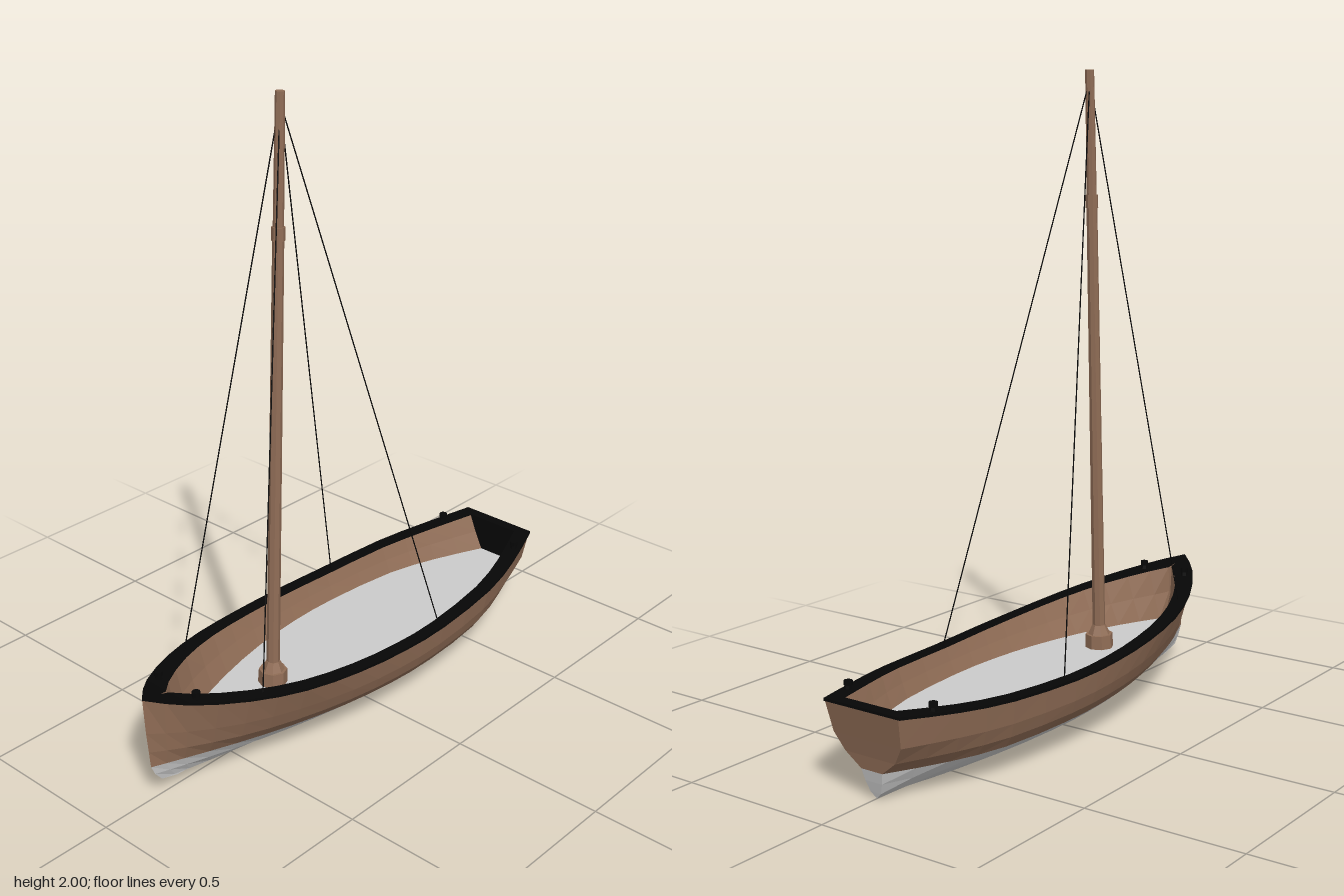
import * as THREE from 'three';

const mat = (color) => new THREE.MeshStandardMaterial({ color, flatShading: true, side: THREE.DoubleSide });
const V = (x, y, z) => new THREE.Vector3(x, y, z);
const flip = (p) => V(-p.x, p.y, p.z);

// Stations bow to stern: z, sheer half beam, sheer y, mid and waterline half beams, keel y
const STATIONS = [
  [0.84, 0, 0.355, 0, 0, 0.032],
  [0.74, 0.088, 0.33, 0.066, 0.038, 0.028],
  [0.58, 0.173, 0.302, 0.145, 0.095, 0.025],
  [0.4, 0.23, 0.277, 0.2, 0.15, 0.022],
  [0.2, 0.26, 0.258, 0.24, 0.194, 0.018],
  [0, 0.272, 0.246, 0.258, 0.218, 0.015],
  [-0.2, 0.268, 0.24, 0.257, 0.22, 0.013],
  [-0.47, 0.242, 0.247, 0.23, 0.193, 0.01],
  [-0.66, 0.195, 0.258, 0.182, 0.13, 0.006],
  [-0.84, 0.133, 0.275, 0.122, 0.038, 0],
];
// Length of each row at the bow and stern (raked stem and transom)
const BOW = [0.84, 0.832, 0.825, 0.82, 0.805, 0.78, 0.72];
const STERN = [0.84, 0.818, 0.806, 0.8, 0.793, 0.785, 0.78];
const FLOOR_Y = 0.16;

// Adds a smooth in-between station to every gap
function refine(list) {
  const out = [list[0]];
  for (let i = 0; i < list.length - 1; i++) {
    const b = list[i], c = list[i + 1];
    const a = list[i - 1] ?? b.map((v, k) => 2 * v - c[k]);
    const d = list[i + 2] ?? c.map((v, k) => 2 * v - b[k]);
    out.push(b.map((v, k) => (9 * (v + c[k]) - a[k] - d[k]) / 16), c);
  }
  return out;
}

// Left half of a station, from sheer to keel
function section([z, sx, sy, mx, wx, ky]) {
  const wy = 0.098 + 0.015 * z;
  const xs = [sx, mx, wx + (mx - wx) * 0.62, wx, wx * 0.8, wx * 0.5, 0];
  const ys = [sy, wy + (sy - wy) * 0.5, wy + (sy - wy) * 0.22, wy,
    ky + (wy - ky) * 0.6, ky + (wy - ky) * 0.22, ky];
  return xs.map((x, i) => V(x, ys[i], (z / 0.84) * (z > 0 ? BOW : STERN)[i]));
}

// Left half of the inner lining, from rim to floor
function lining([z, sx, sy, mx, wx]) {
  const k = z * (z > 0 ? 0.937 : 0.955);
  const y = sy - 0.014 * Math.max(0, z / 0.84) ** 3;
  const rimX = Math.max(0, sx - 0.038);
  const floorX = Math.max(0, mx * 0.6 + wx * 0.4 - 0.045);
  return [V(rimX, y, k), V(rimX * 0.55 + floorX * 0.45, (y + FLOOR_Y) / 2, k), V(floorX, FLOOR_Y, k)];
}

// Skin over a list of equal-length point rows
function skin(rows, reverse = false) {
  const out = [];
  const tri = (a, b, c) => {
    if (V().crossVectors(b.clone().sub(a), c.clone().sub(a)).lengthSq() < 1e-14) return;
    for (const p of reverse ? [a, c, b] : [a, b, c]) out.push(p.x, p.y, p.z);
  };
  for (let i = 0; i < rows.length - 1; i++) {
    for (let j = 0; j < rows[i].length - 1; j++) {
      const a = rows[i][j], b = rows[i][j + 1], c = rows[i + 1][j + 1], d = rows[i + 1][j];
      tri(a, b, c);
      tri(a, c, d);
    }
  }
  const g = new THREE.BufferGeometry();
  g.setAttribute('position', new THREE.Float32BufferAttribute(out, 3));
  g.computeVertexNormals();
  return g;
}

export function createModel() {
  const boat = new THREE.Group();
  boat.name = 'sailboat';
  const wood = mat(0x906d56), grey = mat(0xcccccc), black = mat(0x060606);

  const add = (name, geometry, material, parent = boat) => {
    const m = new THREE.Mesh(geometry, material);
    m.name = name;
    parent.add(m);
    return m;
  };
  // Straight tapered rod between two points
  const rod = (name, a, b, r0, r1, sides, material) => {
    const d = b.clone().sub(a);
    const m = add(name, new THREE.CylinderGeometry(r1, r0, d.length(), sides), material);
    m.position.copy(a).add(b).multiplyScalar(0.5);
    m.quaternion.setFromUnitVectors(V(0, 1, 0), d.normalize());
    return m;
  };
  // Skin on the left and its mirror on the right
  const pair = (name, rows, material, reverse = false) => {
    add(name + 'Left', skin(rows, reverse), material);
    add(name + 'Right', skin(rows.map((r) => r.map(flip)), !reverse), material);
  };

  // Hull: wooden topsides over a grey bottom
  const stations = refine(STATIONS);
  const outer = stations.map(section);
  const inner = stations.map(lining);
  pair('topside', outer.map((s) => s.slice(0, 4)), wood);
  pair('bottom', outer.map((s) => s.slice(3)), grey);

  // Transom
  const stern = outer[outer.length - 1];
  const across = (pts, reverse) => skin([pts, pts.map(flip)], reverse);
  add('transomUpper', across(stern.slice(0, 4)), wood);
  add('transomLower', across(stern.slice(3)), grey);

  // Interior lining, floor and inside of the transom
  pair('innerSide', inner, wood, true);
  add('floor', skin(inner.map((s) => [s[2], flip(s[2])]), true), grey);
  add('innerTransom', across(inner[inner.length - 1], true), black);

  // Gunwale rim: a closed band following the sheer
  const rim = stations.map((s, i) => {
    const o = outer[i][0], n = inner[i][0];
    const ox = o.x > 0 ? o.x + 0.004 : 0;
    const t = 0.003, b = -0.005;
    return [
      V(n.x, n.y + b, n.z), V(n.x, n.y + t, n.z), V(ox, o.y + t, o.z),
      V(ox, o.y + b, o.z), V(n.x, n.y + b, n.z),
    ];
  });
  pair('gunwale', rim, black);
  add('sternRim', across(rim[rim.length - 1], true), black);

  // Raked mast in two lengths, with a foot collar on the floor
  const along = (y) => V(0, y, 0.312 - (y - 0.1) * 0.0379);
  rod('mastFoot', along(FLOOR_Y), along(0.205), 0.046, 0.044, 8, wood);
  rod('mastFootTaper', along(0.205), along(0.235), 0.036, 0.022, 8, wood);
  rod('lowerMast', along(FLOOR_Y), along(1.6), 0.021, 0.017, 8, wood);
  rod('mastBand', along(1.58), along(1.62), 0.02, 0.02, 8, wood);
  rod('upperMast', along(1.6), along(1.9995), 0.016, 0.014, 8, wood);

  // Shrouds and cleats on both sides
  for (const [side, s] of [['Left', 1], ['Right', -1]]) {
    const head = along(1.97);
    rod('foreShroud' + side, V(s * 0.168, 0.293, 0.522), head, 0.002, 0.002, 5, black);
    rod('aftShroud' + side, V(s * 0.23, 0.242, -0.212), head, 0.002, 0.002, 5, black);
    for (const [name, x, y, z] of [['bowCleat', 0.08, 0.322, 0.705], ['sternCleat', 0.155, 0.264, -0.72]]) {
      const cleat = new THREE.Group();
      cleat.name = name + side;
      cleat.position.set(s * x, y, z);
      add('post', new THREE.CylinderGeometry(0.01, 0.012, 0.02, 6), black, cleat).position.y = 0.008;
      add('cap', new THREE.CylinderGeometry(0.013, 0.013, 0.014, 8), black, cleat).position.y = 0.022;
      boat.add(cleat);
    }
  }
  return boat;
}
